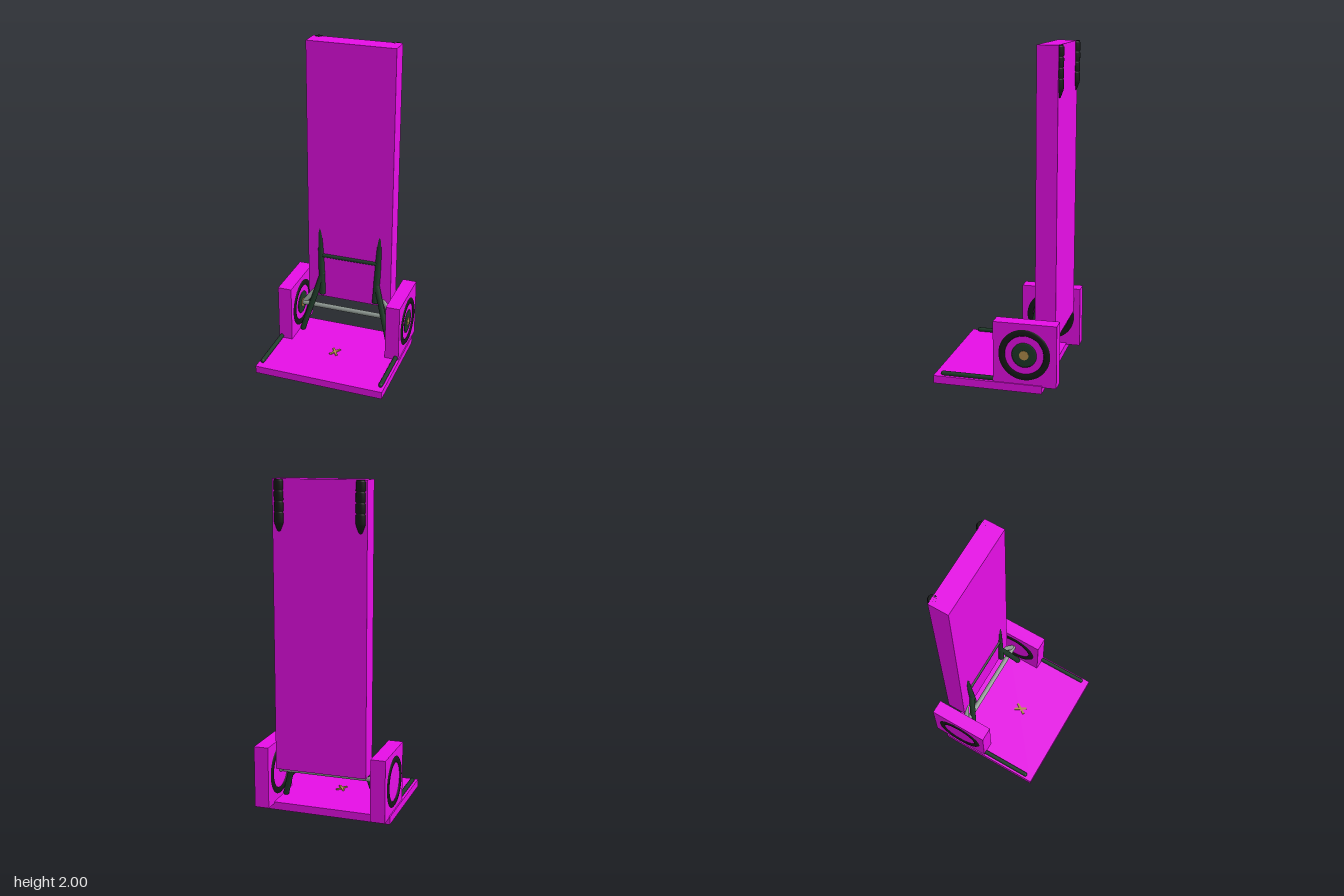
import * as THREE from 'three';

const mat = (color, side = THREE.FrontSide) => new THREE.MeshStandardMaterial({ color, side });
const magenta = mat(0xe60ee6);
const green = mat(0x1e3a28);
const black = mat(0x151816, THREE.DoubleSide);
const steel = mat(0x8c9690);
const brass = mat(0xb08d4a);

function add(parent, name, geometry, material, x = 0, y = 0, z = 0) {
  const mesh = new THREE.Mesh(geometry, material);
  mesh.name = name;
  mesh.position.set(x, y, z);
  parent.add(mesh);
  return mesh;
}

// Box given by its minimum and maximum corners
function block(parent, name, material, a, b) {
  const s = b.map((v, i) => v - a[i]);
  const c = b.map((v, i) => (v + a[i]) / 2);
  return add(parent, name, new THREE.BoxGeometry(...s), material, ...c);
}

// Round bar with softened ends between two points
function bar(parent, name, material, a, b, r) {
  const p = new THREE.Vector3(...a), q = new THREE.Vector3(...b);
  const d = q.clone().sub(p), len = d.length();
  const mesh = add(parent, name, new THREE.CapsuleGeometry(r, len, 4, 16), material);
  mesh.position.copy(p).add(q).multiplyScalar(0.5);
  mesh.quaternion.setFromUnitVectors(new THREE.Vector3(0, 1, 0), d.normalize());
  return mesh;
}

const lathe = (pts, n = 40) => new THREE.LatheGeometry(pts.map(p => new THREE.Vector2(...p)), n);

// Wheel with its axis along x; the hub bulges on the +x side
function makeWheel() {
  const wheel = new THREE.Group();
  wheel.name = 'wheel';
  const spin = new THREE.Group();
  spin.name = 'wheelParts';
  spin.rotation.z = -Math.PI / 2;
  wheel.add(spin);
  add(spin, 'tyre', lathe([
    [0.115, -0.044], [0.12, -0.051], [0.145, -0.052], [0.156, -0.044], [0.18, -0.025],
    [0.18, 0.025], [0.156, 0.044], [0.145, 0.052], [0.12, 0.051], [0.115, 0.044], [0.115, -0.044],
  ], 48), black);
  add(spin, 'hub', lathe([[0.075, 0], [0.075, 0.047], [0.068, 0.05], [0.035, 0.05], [0, 0.05]]), green);
  add(spin, 'axleCap', new THREE.CylinderGeometry(0.028, 0.028, 0.05, 24), brass, 0, 0.028, 0);
  return wheel;
}

export function createModel() {
  const model = new THREE.Group();
  model.name = 'handTruck';

  // Large plain volumes: back panel and base
  block(model, 'backPanel', magenta, [-0.281, 0.285, -0.341], [0.281, 2, -0.217]);
  block(model, 'base', magenta, [-0.415, 0.002, -0.29], [0.415, 0.05, 0.373]);

  // Dark underside of the toe plate
  const under = new THREE.Shape([[-0.412, 0.06], [0.412, -0.11], [0.412, 0.372], [-0.412, 0.372]]
    .map(p => new THREE.Vector2(...p)));
  const plate = add(model, 'toePlateUnderside', new THREE.ShapeGeometry(under), green);
  plate.rotation.x = Math.PI / 2;

  // Ribbed grip profile
  const gripProfile = [[0, -0.3], [0.012, -0.29], [0.027, -0.25]];
  for (let i = 0; i < 4; i++) {
    const y = -0.24 + i * 0.06;
    gripProfile.push([0.029, y], [0.029, y + 0.048], [0.025, y + 0.051], [0.025, y + 0.057]);
  }
  gripProfile.push([0.024, 0], [0, 0]);
  const gripGeometry = lathe(gripProfile, 24);

  for (const s of [-1, 1]) {
    const side = new THREE.Group();
    side.name = s > 0 ? 'leftSide' : 'rightSide';
    model.add(side);

    // Wheel housing and wheel
    block(side, 'wheelHousing', magenta,
      [s * 0.363 - 0.045, 0.04, -0.375], [s * 0.363 + 0.045, 0.42, 0.005]);
    const wheel = makeWheel();
    wheel.position.set(s * 0.363, 0.23, -0.183);
    side.add(wheel);

    // Leaning upright running into the grip
    const path = new THREE.CatmullRomCurve3([
      [0.182, 0.31, -0.205], [0.193, 0.55, -0.22], [0.203, 0.8, -0.239],
      [0.23, 1.4, -0.295], [0.242, 1.75, -0.32], [0.242, 1.95, -0.33],
    ].map(([x, y, z]) => new THREE.Vector3(s * x, y, z)));
    add(side, 'upright', new THREE.TubeGeometry(path, 32, 0.02, 16), green);
    add(side, 'grip', gripGeometry, black, s * 0.242, 2, -0.336);

    // Leg, axle brace and edge rail
    bar(side, 'leg', green, [s * 0.184, 0.455, -0.214], [s * 0.298, 0.06, -0.142], 0.018);
    bar(side, 'axleBrace', steel, [s * 0.31, 0.228, -0.19], [s * 0.215, 0.345, -0.235], 0.016);
    bar(side, 'edgeRail', green, [s * 0.39, 0.062, -0.1], [s * 0.39, 0.062, 0.318], 0.014);
  }

  // Members across the frame
  bar(model, 'crossbar', green, [-0.19, 0.587, -0.218], [0.19, 0.587, -0.218], 0.013);
  bar(model, 'axle', steel, [-0.33, 0.23, -0.185], [0.33, 0.23, -0.185], 0.016);

  // Small crossed marker on the base
  for (const s of [-1, 1]) {
    const strip = add(model, 'crossMarker', new THREE.BoxGeometry(0.014, 0.012, 0.084), brass, 0, 0.051, 0.056);
    strip.rotation.y = s * 0.57;
  }

  return model;
}
